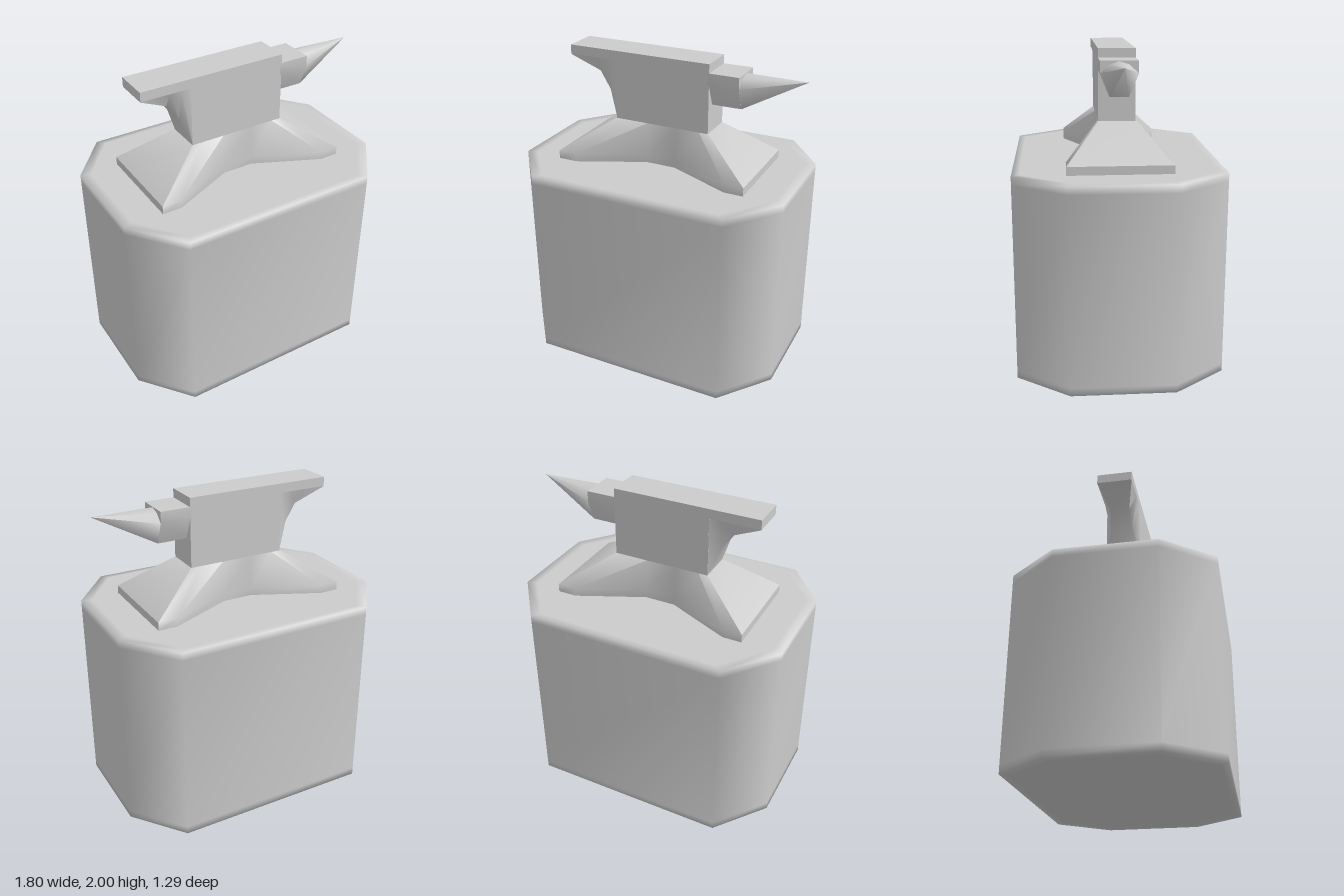
import * as THREE from 'three';
import { toCreasedNormals } from 'three/addons/utils/BufferGeometryUtils.js';

const material = new THREE.MeshStandardMaterial({ color: 0xcccccc });

// Skin a list of equal-length rings, each running counter-clockwise seen from the end of the loft.
function loft(rings, crease) {
  const n = rings[0].length, pos = rings.flat(2), index = [];
  for (let r = 0; r < rings.length - 1; r++) {
    for (let i = 0; i < n; i++) {
      const a = r * n + i, b = r * n + (i + 1) % n;
      index.push(a, b, b + n, a, b + n, a + n);
    }
  }
  [rings[0], rings[rings.length - 1]].forEach((ring, end) => {
    const c = pos.length / 3, base = end ? (rings.length - 1) * n : 0;
    for (let k = 0; k < 3; k++) pos.push(ring.reduce((s, p) => s + p[k], 0) / n);
    for (let i = 0; i < n; i++) {
      const a = base + i, b = base + (i + 1) % n;
      index.push(c, end ? a : b, end ? b : a);
    }
  });
  const g = new THREE.BufferGeometry();
  g.setAttribute('position', new THREE.Float32BufferAttribute(pos, 3));
  g.setIndex(index);
  if (crease) return toCreasedNormals(g, crease);
  g.computeVertexNormals();
  return g;
}

// Mirror a front outline (left to right, z > 0) to the back to close a plan ring.
const mirrorPlan = (half) => [...half, ...half.map(([x, z]) => [x, -z]).reverse()];
const planRing = (plan, y, s = 1) => plan.map(([x, z]) => [x * s, y, z * s]);

export function createModel() {
  const group = new THREE.Group();
  const add = (name, geometry) => {
    const mesh = new THREE.Mesh(geometry, material);
    mesh.name = name;
    group.add(mesh);
  };

  // Chamfered block with softly shaded edges
  const block = mirrorPlan([[-0.9, 0.32], [-0.645, 0.645], [0.645, 0.645], [0.9, 0.32]]);
  add('block', loft([
    [0, 0.93], [0, 1], [0.05, 1], [1.24, 1], [1.29, 1], [1.29, 0.93],
  ].map(([y, s]) => planRing(block, y, s))));

  // Waisted foot: thin plinth, then a slope up to the body
  const foot = mirrorPlan([[-0.645, 0.322], [-0.52, 0.322], [-0.1, 0.13], [0.1, 0.13], [0.52, 0.322], [0.645, 0.322]]);
  const neck = mirrorPlan([-0.32, -0.26, -0.1, 0.1, 0.26, 0.32].map((x) => [x, 0.115]));
  add('foot', loft([planRing(foot, 1.29), planRing(foot, 1.343), planRing(neck, 1.555)], 0.9));

  // Body with the overhanging face plate
  const side = new THREE.Shape([
    [-0.645, 1.94], [-0.32, 1.94], [-0.32, 1.555], [0.32, 1.555], [0.32, 2], [-0.645, 2],
  ].map(([x, y]) => new THREE.Vector2(x, y)));
  const body = new THREE.ExtrudeGeometry(side, { depth: 0.23, bevelEnabled: false });
  body.translate(0, 0, -0.115);
  add('body', body);

  // Curved bracket under the heel, narrower along its lower edge: x, bottom y, bottom half width
  add('heelBracket', loft([
    [-0.645, 1.938, 0.115], [-0.46, 1.84, 0.065], [-0.385, 1.73, 0.075], [-0.318, 1.555, 0.115],
  ].map(([x, y, w]) => [[x, 1.94, -0.115], [x, 1.94, 0.115], [x, y, w], [x, y, -w]]), 0.9));

  // Step between face and horn
  const step = [[1.943, -0.115], [1.943, 0.115], [1.87, 0.115], [1.73, 0.058], [1.73, -0.058], [1.87, -0.115]];
  add('step', loft([0.31, 0.512].map((x) => step.map(([y, z]) => [x, y, z])), 0.6));

  // Horn with a ridged top, tapering to a point
  const horn = [[1.94, 0], [1.92, 0.06], [1.87, 0.113], [1.73, 0.057], [1.73, -0.057], [1.87, -0.113], [1.92, -0.06]];
  add('horn', loft([[0.512, 1], [0.9, 0.003]].map(([x, s]) =>
    horn.map(([y, z]) => [x, 1.938 + (y - 1.938) * s, z * s])), 1.2));

  return group;
}
